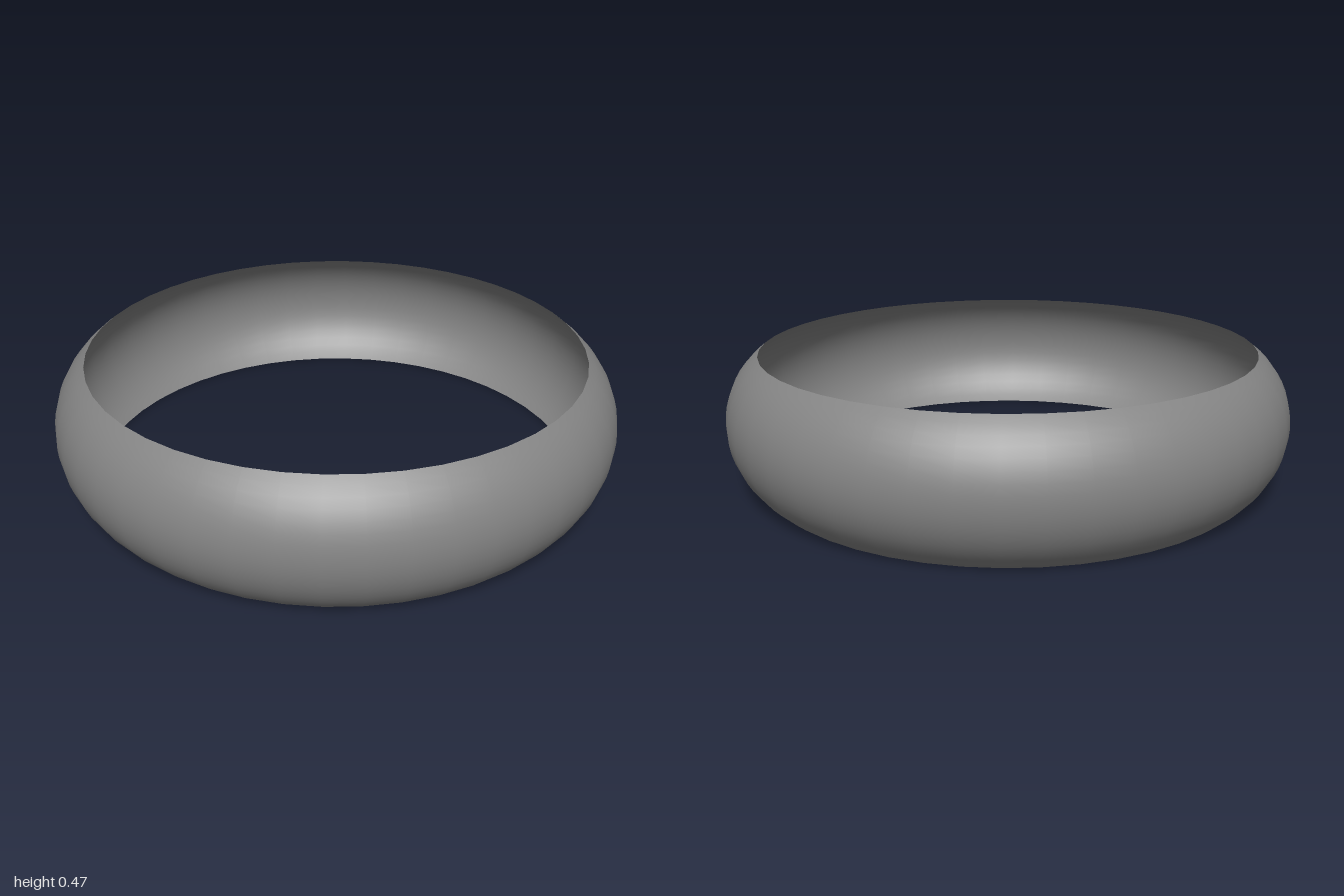
import * as THREE from 'three';

export function createModel() {
  const group = new THREE.Group();
  group.name = 'ring';

  // Bulging open band: a circular arc swept around the vertical axis
  const rimRadius = 0.88, outerRadius = 1, halfHeight = 0.233;
  const sag = outerRadius - rimRadius;
  const arcRadius = (sag * sag + halfHeight * halfHeight) / (2 * sag);
  const halfAngle = Math.asin(halfHeight / arcRadius);
  const steps = 16;
  const profile = [];
  for (let i = 0; i <= steps; i++) {
    const a = halfAngle * (2 * i / steps - 1);
    profile.push(new THREE.Vector2(
      outerRadius - arcRadius + arcRadius * Math.cos(a),
      halfHeight + arcRadius * Math.sin(a)
    ));
  }

  const band = new THREE.Mesh(
    new THREE.LatheGeometry(profile, 48),
    new THREE.MeshStandardMaterial({ color: 0x848484, side: THREE.DoubleSide })
  );
  band.name = 'band';
  group.add(band);
  return group;
}
